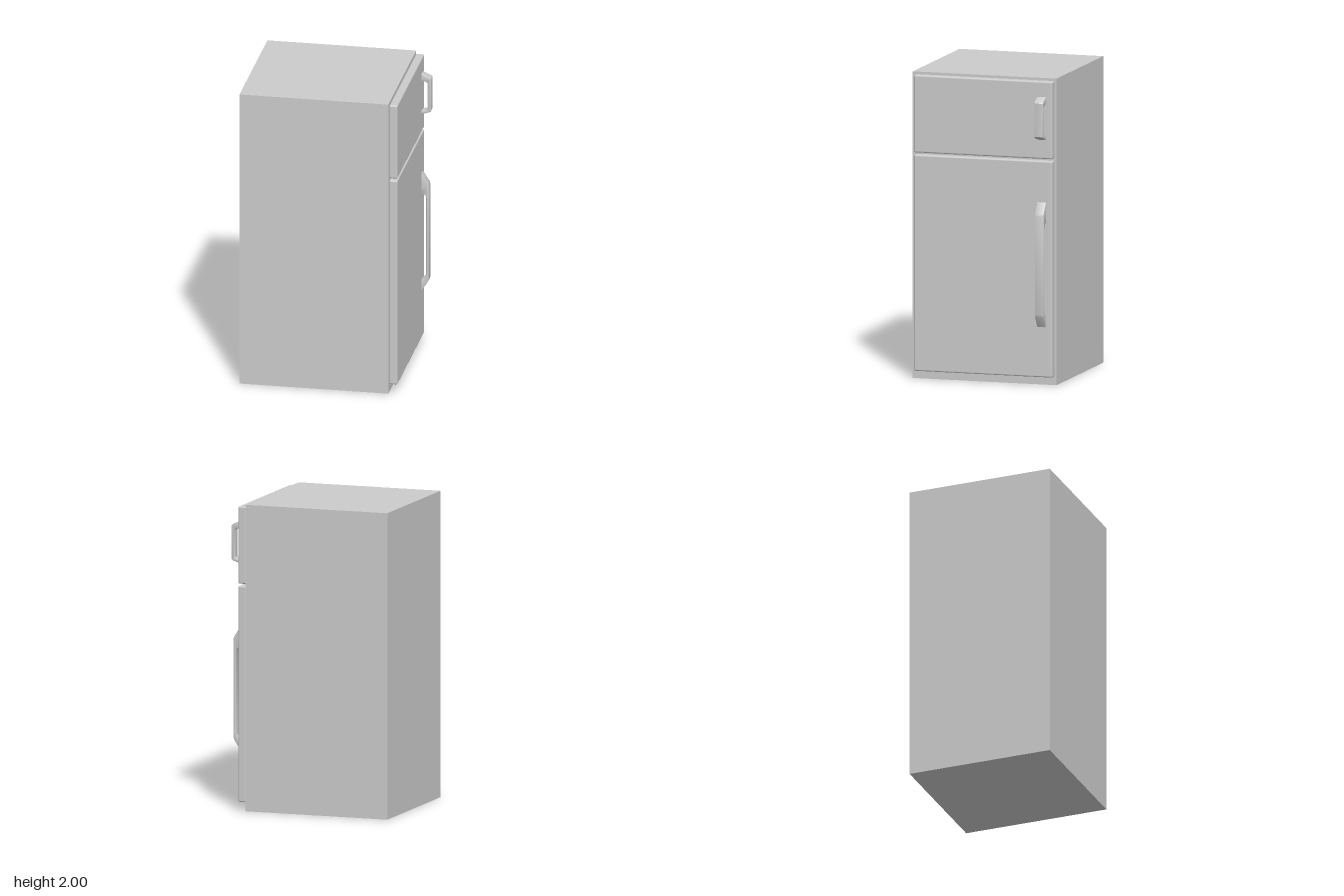
import * as THREE from 'three';
import { RoundedBoxGeometry } from 'three/addons/geometries/RoundedBoxGeometry.js';
import { toCreasedNormals } from 'three/addons/utils/BufferGeometryUtils.js';

const material = new THREE.MeshStandardMaterial({ color: 0xcccccc });

function addMesh(group, name, geometry, x, y, z) {
  const mesh = new THREE.Mesh(geometry, material);
  mesh.name = name;
  mesh.position.set(x, y, z);
  group.add(mesh);
}

// Door slab on the +x side, between two heights
function addDoor(group, name, y0, y1) {
  const geometry = new RoundedBoxGeometry(0.055, y1 - y0, 0.938, 2, 0.01);
  addMesh(group, name, geometry, 0.4545, (y0 + y1) / 2, -0.009);
}

// Bracket handle: side profile extruded along z with softened edges
function addHandle(group, name, points) {
  const shape = new THREE.Shape(points.map(([x, y]) => new THREE.Vector2(x, y)));
  const bevel = 0.004;
  const geometry = new THREE.ExtrudeGeometry(shape, {
    depth: 0.06 - 2 * bevel,
    bevelThickness: bevel,
    bevelSize: bevel,
    bevelOffset: -bevel,
    bevelSegments: 2,
  });
  addMesh(group, name, toCreasedNormals(geometry, 0.6), 0, 0, -0.435 + bevel);
}

export function createModel() {
  const group = new THREE.Group();
  group.name = 'refrigerator';

  // Cabinet
  addMesh(group, 'cabinet', new THREE.BoxGeometry(0.976, 2, 0.974), -0.061, 1, -0.002);

  // Doors
  addDoor(group, 'freezerDoor', 1.48, 1.985);
  addDoor(group, 'fridgeDoor', 0.055, 1.466);

  // Handles, outer edge first and then the inner edge
  addHandle(group, 'freezerHandle', [
    [0.47, 1.603], [0.48, 1.604], [0.535, 1.622], [0.545, 1.632], [0.545, 1.85], [0.538, 1.86],
    [0.48, 1.885], [0.47, 1.888], [0.47, 1.838], [0.48, 1.838], [0.516, 1.83], [0.522, 1.822],
    [0.522, 1.645], [0.516, 1.637], [0.48, 1.627], [0.47, 1.625],
  ]);
  addHandle(group, 'fridgeHandle', [
    [0.47, 0.365], [0.48, 0.38], [0.526, 0.452], [0.531, 0.468], [0.531, 1.11], [0.526, 1.128],
    [0.48, 1.2], [0.47, 1.215], [0.47, 1.07], [0.48, 1.065], [0.507, 1.045], [0.513, 1.03],
    [0.513, 0.5], [0.507, 0.48], [0.48, 0.46], [0.47, 0.455],
  ]);

  return group;
}
